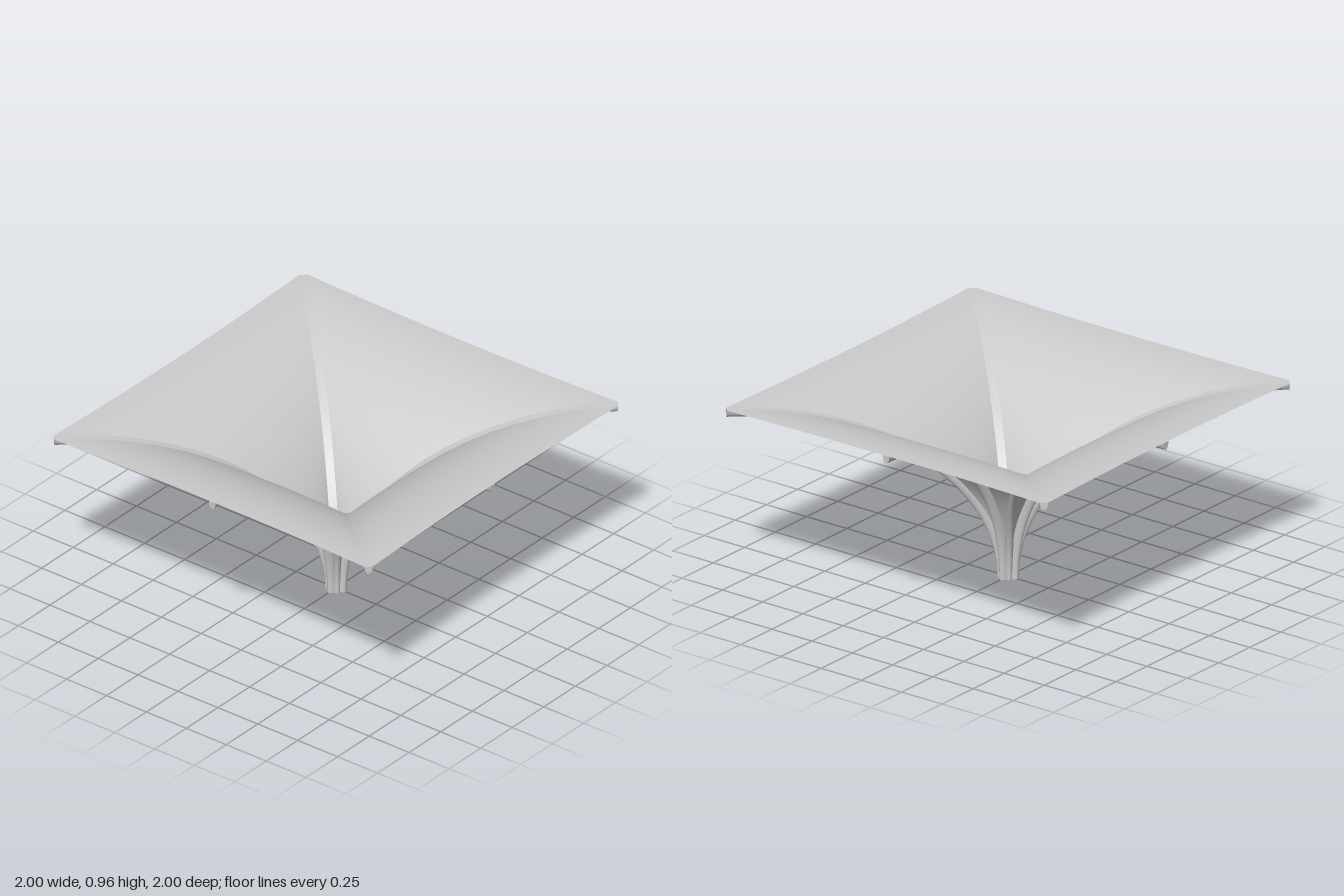
import * as THREE from 'three';
import { mergeGeometries } from 'three/addons/utils/BufferGeometryUtils.js';

const HEIGHT = 0.96;
const HALF_WIDTH = 0.021;
const DEPTH = 0.04;
const QUARTER = Math.PI / 2;

// Inner radius and outer radius of each quarter-ellipse arch
const SIDE = { inner: 0.02, outer: 0.98 };
const CORNER = { inner: 0.014, outer: 1.393 };

const material = new THREE.MeshStandardMaterial({ color: 0xcccccc, side: THREE.DoubleSide });

const reach = (arch, t) => arch.outer - (arch.outer - arch.inner) * Math.cos(t);

// Smooth grid whose points are given by fn(u, v), both from 0 to 1
function surface(nu, nv, fn) {
  const geometry = new THREE.PlaneGeometry(1, 1, nu, nv);
  const pos = geometry.attributes.position;
  for (let i = 0; i < pos.count; i++) {
    const p = fn(pos.getX(i) + 0.5, pos.getY(i) + 0.5);
    pos.setXYZ(i, p[0], p[1], p[2]);
  }
  geometry.computeVertexNormals();
  return geometry;
}

// Arched rib running out along +z: flat top, rounded underside, closed ends
function ribGeometry(arch, drop) {
  const span = arch.outer - arch.inner;
  const at = (t, w, d) => {
    const n = new THREE.Vector2(Math.cos(t) / span, -Math.sin(t) / HEIGHT).normalize();
    return [w, HEIGHT * Math.sin(t) + n.y * (d + drop), reach(arch, t) + n.x * (d + drop)];
  };
  const width = (u) => -HALF_WIDTH * Math.cos(Math.PI * u);
  const depth = (u) => DEPTH * Math.sin(Math.PI * u);
  return mergeGeometries([
    surface(10, 40, (u, v) => at(v * QUARTER, width(u), depth(u))),
    surface(1, 40, (u, v) => at(v * QUARTER, HALF_WIDTH * (1 - 2 * u), 0)),
    surface(10, 1, (u, v) => at(0, width(u), depth(u) * v)),
    surface(10, 1, (u, v) => at(QUARTER, width(1 - u), depth(1 - u) * v)),
  ]);
}

// Canopy quarter facing +z, spanning between two corner ribs
function panelGeometry() {
  const edge = HALF_WIDTH * Math.SQRT1_2;
  return surface(24, 40, (u, v) => {
    const t = v * QUARTER;
    const s = 2 * u - 1;
    const middle = reach(SIDE, t);
    const corner = reach(CORNER, t) * Math.SQRT1_2;
    const x = Math.max(corner - edge, 0) * s;
    const z = middle + (corner + edge - middle) * s * s;
    return [x, HEIGHT * Math.sin(t), z];
  });
}

export function createModel() {
  const model = new THREE.Group();
  model.name = 'vaultedCanopy';

  const panel = panelGeometry();
  const sideRib = ribGeometry(SIDE, 0.001);
  const cornerRib = ribGeometry(CORNER, 0);

  const add = (name, geometry, angle) => {
    const mesh = new THREE.Mesh(geometry, material);
    mesh.name = name;
    mesh.rotation.y = angle;
    model.add(mesh);
  };

  // Four matching quarters around the stem
  for (let i = 0; i < 4; i++) {
    const angle = i * QUARTER;
    add(`canopyPanel${i + 1}`, panel, angle);
    add(`sideRib${i + 1}`, sideRib, angle);
    add(`cornerRib${i + 1}`, cornerRib, angle + QUARTER / 2);
  }
  return model;
}
